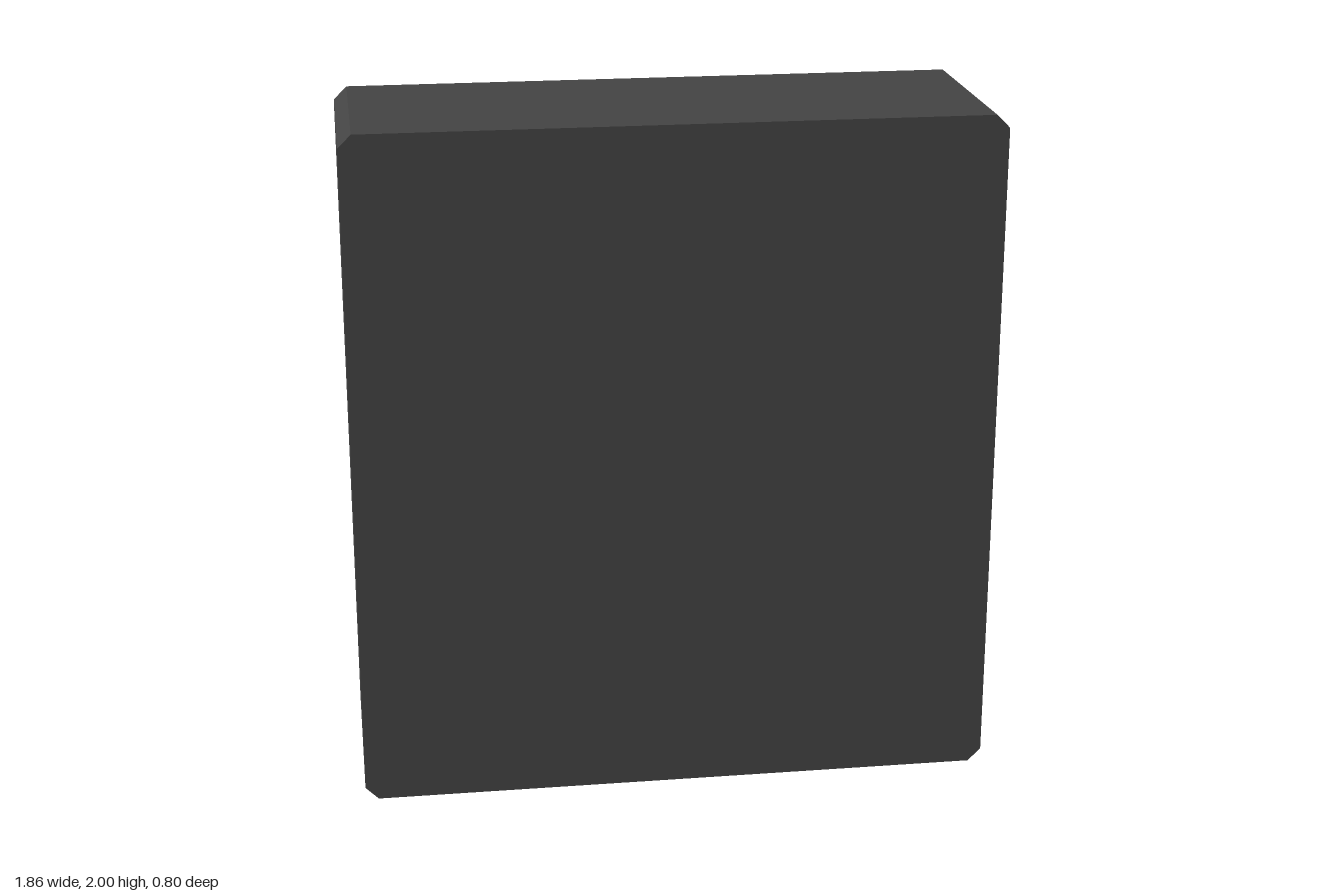
import * as THREE from 'three';
import { ConvexGeometry } from 'three/addons/geometries/ConvexGeometry.js';

// Corner points of a rectangle at depth z; corner > 0 cuts its corners off
function outline(hw, hh, z, corner = 0) {
  const points = [];
  for (const sx of [-1, 1]) for (const sy of [-1, 1]) {
    points.push(new THREE.Vector3(sx * hw, sy * (hh - corner), z));
    if (corner > 0) points.push(new THREE.Vector3(sx * (hw - corner), sy * hh, z));
  }
  return points;
}

// Block whose rear rim is bevelled: full outline from front to rim, inset outline at back
function bevelledBlock(hw, hh, front, rim, back, inset, corner = 0) {
  return new ConvexGeometry([
    ...outline(hw, hh, front, corner),
    ...outline(hw, hh, rim, corner),
    ...outline(hw - inset, hh - inset, back),
  ]);
}

export function createModel() {
  const charcoal = new THREE.MeshStandardMaterial({ color: 0x444444 });
  charcoal.name = 'charcoal';
  const wood = new THREE.MeshStandardMaterial({ color: 0xb0866b });
  wood.name = 'wood';

  const group = new THREE.Group();
  group.name = 'cabinet';
  const add = (name, geometry, material, x, y, z) => {
    const mesh = new THREE.Mesh(geometry, material);
    mesh.name = name;
    mesh.position.set(x, y, z);
    group.add(mesh);
    return mesh;
  };

  // Cabinet body with cut corners
  add('body', bevelledBlock(0.93, 1, 0.402, -0.226, -0.24, 0.038, 0.038), charcoal, 0, 1, 0);

  // Door panel on the rear face
  add('door', bevelledBlock(0.807, 0.9, -0.235, -0.277, -0.292, 0.015), wood, -0.007, 1, 0);

  // Flattened round knob
  const knob = add('knob', new THREE.SphereGeometry(0.088, 32, 20), charcoal, 0.536, 1, -0.338);
  knob.scale.z = 0.73;

  return group;
}
